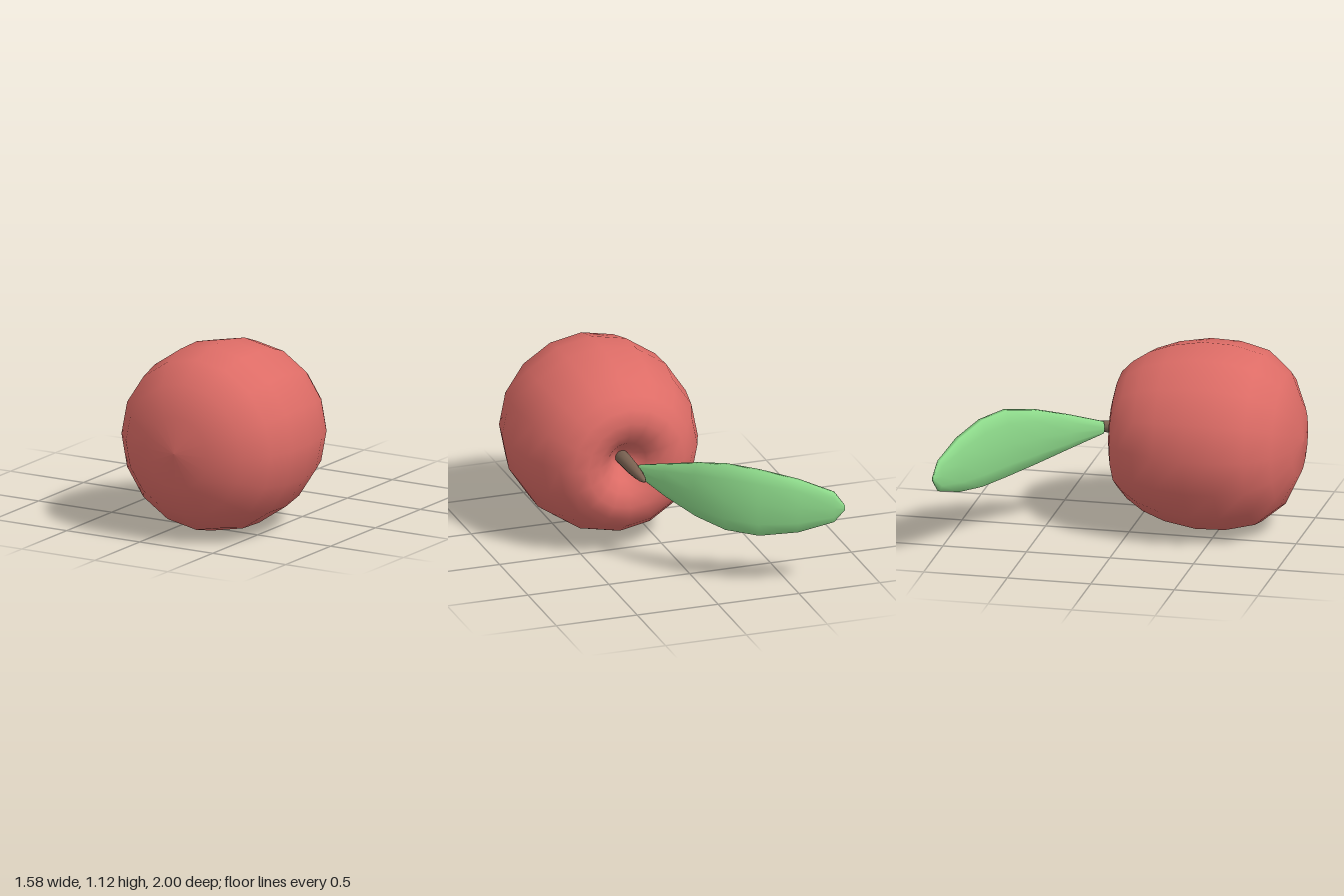
import * as THREE from 'three';

const material = (name, color) => {
  const m = new THREE.MeshStandardMaterial({ color });
  m.name = name;
  return m;
};

// Surface of revolution about the z axis through the fruit centre; profile is [radius, z] from front to back.
function turned(name, profile, sides, mat) {
  const points = profile.map(([r, z]) => new THREE.Vector2(r, -z));
  const mesh = new THREE.Mesh(new THREE.LatheGeometry(points, sides), mat);
  mesh.name = name;
  mesh.rotation.x = -Math.PI / 2;
  mesh.position.set(0.23, 0.563, 0);
  return mesh;
}

// Elliptical rings along a curved midrib; rows are [x, y, z, half height, half thickness].
function leafGeometry(rows, sides) {
  const positions = [], indices = [];
  rows.forEach(([x, y, z, h, t], i) => {
    const p = rows[Math.max(i - 1, 0)], q = rows[Math.min(i + 1, rows.length - 1)];
    const dx = q[0] - p[0], dz = q[2] - p[2], len = Math.hypot(dx, dz);
    for (let k = 0; k < sides; k++) {
      const a = (k / sides) * Math.PI * 2, c = Math.cos(a) * t;
      positions.push(x - (dz / len) * c, y + Math.sin(a) * h, z + (dx / len) * c);
      if (i === rows.length - 1) continue;
      const k2 = (k + 1) % sides;
      const a0 = i * sides + k, b0 = i * sides + k2;
      indices.push(a0, a0 + sides, b0, b0, a0 + sides, b0 + sides);
    }
  });
  // Close both ends
  const last = (rows.length - 1) * sides;
  for (let k = 1; k < sides - 1; k++) {
    indices.push(0, k, k + 1, last, last + k + 1, last + k);
  }
  const g = new THREE.BufferGeometry();
  g.setAttribute('position', new THREE.Float32BufferAttribute(positions, 3));
  g.setIndex(indices);
  g.computeVertexNormals();
  return g;
}

export function createModel() {
  const red = material('fruit red', 0xdd6c66);
  const brown = material('stem brown', 0x7c6453);
  const green = material('leaf green', 0x8fdc8c);
  const model = new THREE.Group();
  model.name = 'fruit';

  // Round body lying on its side, with a dimple at the back
  model.add(turned('body', [
    [0, 0.995], [0.215, 0.97], [0.395, 0.885], [0.512, 0.745], [0.555, 0.57],
    [0.56, 0.39], [0.528, 0.205], [0.478, 0.07], [0.412, -0.03], [0.345, -0.095],
    [0.265, -0.118], [0.185, -0.1], [0.12, -0.05], [0.07, 0.02], [0, 0.06],
  ], 16, red));

  // Tapering stem rising out of the dimple
  model.add(turned('stem', [
    [0, 0.09], [0.042, 0.08], [0.041, -0.05], [0.038, -0.15], [0.032, -0.23],
    [0.022, -0.31], [0.01, -0.36], [0, -0.375],
  ], 10, brown));

  // Curved leaf sweeping back and to the side
  const leaf = new THREE.Mesh(leafGeometry([
    [0.205, 0.565, -0.2, 0.038, 0.02],
    [0.1, 0.56, -0.38, 0.108, 0.032],
    [-0.025, 0.555, -0.56, 0.175, 0.043],
    [-0.155, 0.547, -0.705, 0.215, 0.047],
    [-0.32, 0.53, -0.815, 0.215, 0.045],
    [-0.53, 0.517, -0.905, 0.172, 0.043],
    [-0.728, 0.508, -0.972, 0.098, 0.027],
    [-0.787, 0.503, -0.994, 0.015, 0.007],
  ], 10), green);
  leaf.name = 'leaf';
  model.add(leaf);

  return model;
}
